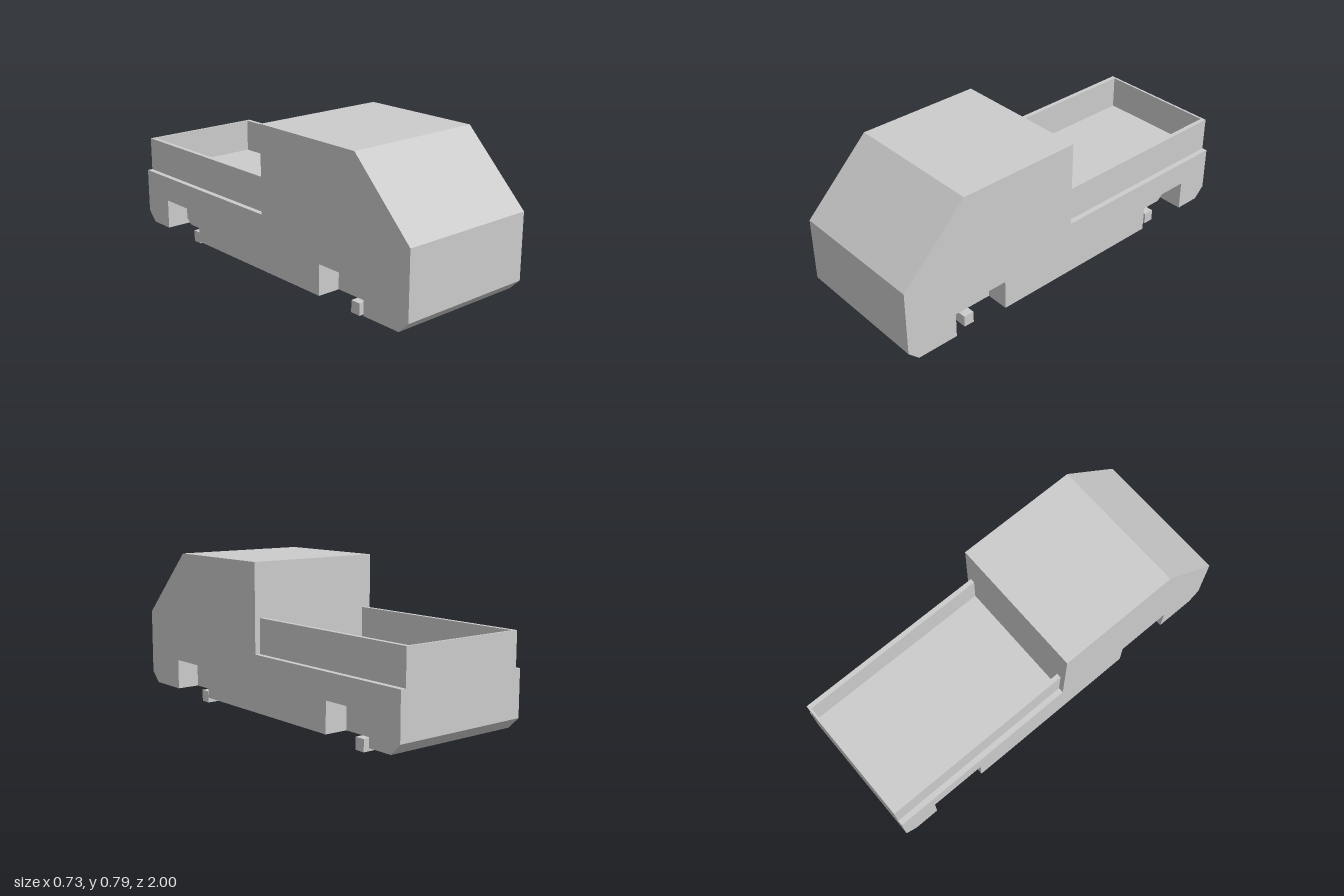
import * as THREE from 'three';

const W = 0.365;        // half width of the body
const WELL = 0.245;     // half width between the wheel wells
const BEAM = 0.07;      // half width of the centre beam
const BASE = 0.06, DECK = 0.345, RAIL = 0.52, CAB_BACK = 0.015;

const material = new THREE.MeshStandardMaterial({ color: 0xcccccc, flatShading: true });

function addMesh(group, name, geometry) {
  const mesh = new THREE.Mesh(geometry, material);
  mesh.name = name;
  group.add(mesh);
}

// Box given by its limits on each axis
function addBox(group, name, [x0, x1], [y0, y1], [z0, z1]) {
  const geometry = new THREE.BoxGeometry(x1 - x0, y1 - y0, z1 - z0);
  geometry.translate((x0 + x1) / 2, (y0 + y1) / 2, (z0 + z1) / 2);
  addMesh(group, name, geometry);
}

// Side profile of (z, y) points, extruded across x; the notches lie along the underside
function addSlab(group, name, x0, x1, notches) {
  const outline = [
    [1, 0.115], [1, 0.45], [0.66, 0.79], [CAB_BACK, 0.79], [CAB_BACK, DECK],
    [-1, DECK], [-1, 0.115], [-0.945, BASE], ...notches, [0.945, BASE],
  ];
  const shape = new THREE.Shape(outline.map(([z, y]) => new THREE.Vector2(z, y)));
  const geometry = new THREE.ExtrudeGeometry(shape, { depth: x1 - x0, bevelEnabled: false });
  geometry.rotateY(-Math.PI / 2);
  geometry.translate(x1, 0, 0);
  addMesh(group, name, geometry);
}

export function createModel() {
  const model = new THREE.Group();
  model.name = 'pickupTruck';

  const wheelWells = [
    [-0.81, BASE], [-0.81, 0.215], [-0.52, 0.215], [-0.52, BASE],
    [0.435, BASE], [0.435, 0.215], [0.73, 0.215], [0.73, BASE],
  ];
  const rearGroove = [[-0.81, BASE], [-0.81, 0.09], [-0.775, BASE]];

  // Body: centre beam, grooved chassis on both sides, outer sides with wheel wells
  addSlab(model, 'bodyCentre', -BEAM, BEAM, []);
  addSlab(model, 'leftChassis', BEAM, WELL, rearGroove);
  addSlab(model, 'rightChassis', -WELL, -BEAM, rearGroove);
  addSlab(model, 'leftBodySide', WELL, W, wheelWells);
  addSlab(model, 'rightBodySide', -W, -WELL, wheelWells);

  // Cargo bed walls, set in from the body sides
  addBox(model, 'leftBedWall', [0.313, 0.337], [DECK, RAIL], [-1, CAB_BACK]);
  addBox(model, 'rightBedWall', [-0.337, -0.313], [DECK, RAIL], [-1, CAB_BACK]);
  addBox(model, 'tailgate', [-0.313, 0.313], [DECK, RAIL], [-1, -0.988]);

  // Square axles under the chassis
  addBox(model, 'frontAxle', [-0.285, 0.285], [0, BASE], [0.565, 0.62]);
  addBox(model, 'rearAxle', [-0.285, 0.285], [0, BASE], [-0.685, -0.63]);

  return model;
}
